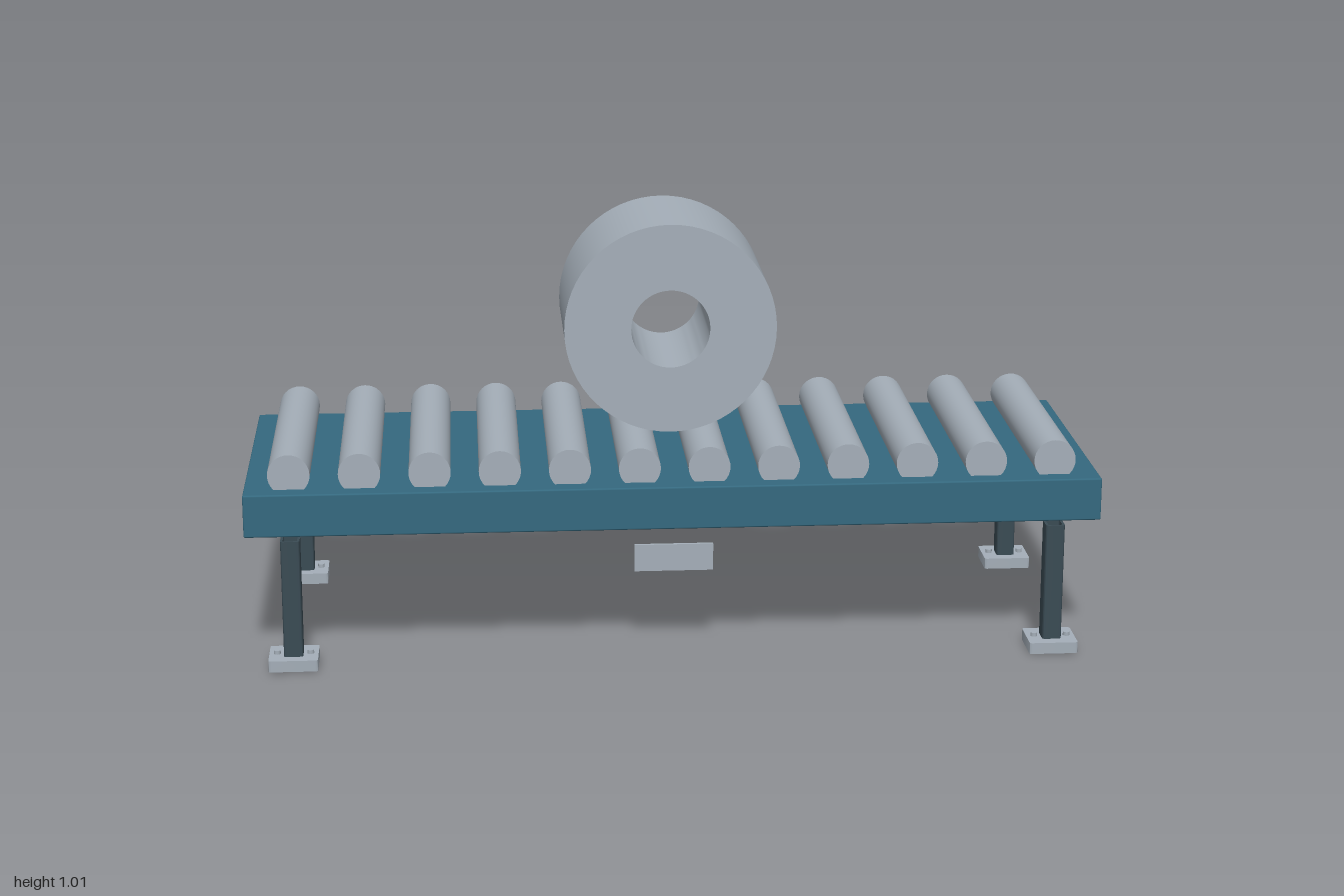
import * as THREE from 'three';
import { toCreasedNormals } from 'three/addons/utils/BufferGeometryUtils.js';
import { RoundedBoxGeometry } from 'three/addons/geometries/RoundedBoxGeometry.js';

const material = (name, color) => Object.assign(new THREE.MeshStandardMaterial({ color }), { name });

// Rounded rectangle outline centred on the origin
function roundedRect(path, w, d, r) {
  const x = w / 2, y = d / 2;
  path.moveTo(x, -y + r);
  path.lineTo(x, y - r);
  path.absarc(x - r, y - r, r, 0, Math.PI / 2);
  path.absarc(-x + r, y - r, r, Math.PI / 2, Math.PI);
  path.absarc(-x + r, -y + r, r, Math.PI, Math.PI * 1.5);
  path.absarc(x - r, -y + r, r, Math.PI * 1.5, Math.PI * 2);
  return path;
}

// Upright hollow section with its underside on y = 0
function hollowSection(w, d, r, holeW, holeD, holeR, height) {
  const shape = roundedRect(new THREE.Shape(), w, d, r);
  shape.holes.push(roundedRect(new THREE.Path(), holeW, holeD, holeR));
  const geometry = new THREE.ExtrudeGeometry(shape, { depth: height, bevelEnabled: false, curveSegments: 4 });
  geometry.rotateX(-Math.PI / 2);
  return toCreasedNormals(geometry, 0.6);
}

export function createModel() {
  const model = new THREE.Group();
  model.name = 'rollerConveyor';
  const steel = material('steel grey', 0xa5afb9);
  const blue = material('frame blue', 0x35697f);
  const dark = material('dark leg', 0x3b4c55);

  const add = (parent, name, geometry, mat, x, y, z) => {
    const mesh = new THREE.Mesh(geometry, mat);
    mesh.name = name;
    mesh.position.set(x, y, z);
    parent.add(mesh);
    return mesh;
  };

  // Conveyor bed
  add(model, 'bed', new RoundedBoxGeometry(2, 0.102, 0.688, 2, 0.004), blue, 0, 0.376, 0);

  // Row of rollers, half sunk in the bed
  const rollers = new THREE.Group();
  rollers.name = 'rollers';
  model.add(rollers);
  const rollerGeometry = new THREE.CylinderGeometry(0.049, 0.049, 0.602, 32).rotateX(Math.PI / 2);
  const count = 12;
  for (let i = 0; i < count; i++) {
    add(rollers, 'roller', rollerGeometry, steel, -0.895 + (1.79 * i) / (count - 1), 0.461, 0);
  }

  // Hollow coil resting on the rollers
  const ro = 0.25, ri = 0.093, h = 0.167;
  const profile = [[ri, -h], [ro, -h], [ro, h], [ri, h], [ri, -h]].map(([x, y]) => new THREE.Vector2(x, y));
  const coilGeometry = toCreasedNormals(new THREE.LatheGeometry(profile, 64).rotateX(Math.PI / 2), 0.6);
  add(model, 'coil', coilGeometry, steel, 0, 0.76, 0);

  // Four legs with foot plates and anchor bolts
  const legGeometry = hollowSection(0.045, 0.05, 0.007, 0.033, 0.038, 0.003, 0.312);
  const footGeometry = hollowSection(0.115, 0.106, 0.006, 0.044, 0.049, 0.006, 0.027);
  const boltGeometry = new THREE.CylinderGeometry(0.008, 0.008, 0.012, 12);
  for (const x of [-0.895, 0.895]) {
    for (const z of [-0.314, 0.314]) {
      const support = new THREE.Group();
      support.name = 'support';
      support.position.set(x, 0, z);
      model.add(support);
      add(support, 'leg', legGeometry, dark, 0, 0, 0);
      add(support, 'foot', footGeometry, steel, 0, 0.003, 0);
      for (const side of [-1, 1]) add(support, 'bolt', boltGeometry, steel, side * 0.039, 0.033, 0);
    }
  }

  // Small plate below the front edge
  add(model, 'namePlate', new THREE.BoxGeometry(0.186, 0.065, 0.008), steel, 0, 0.232, 0.269);

  return model;
}
